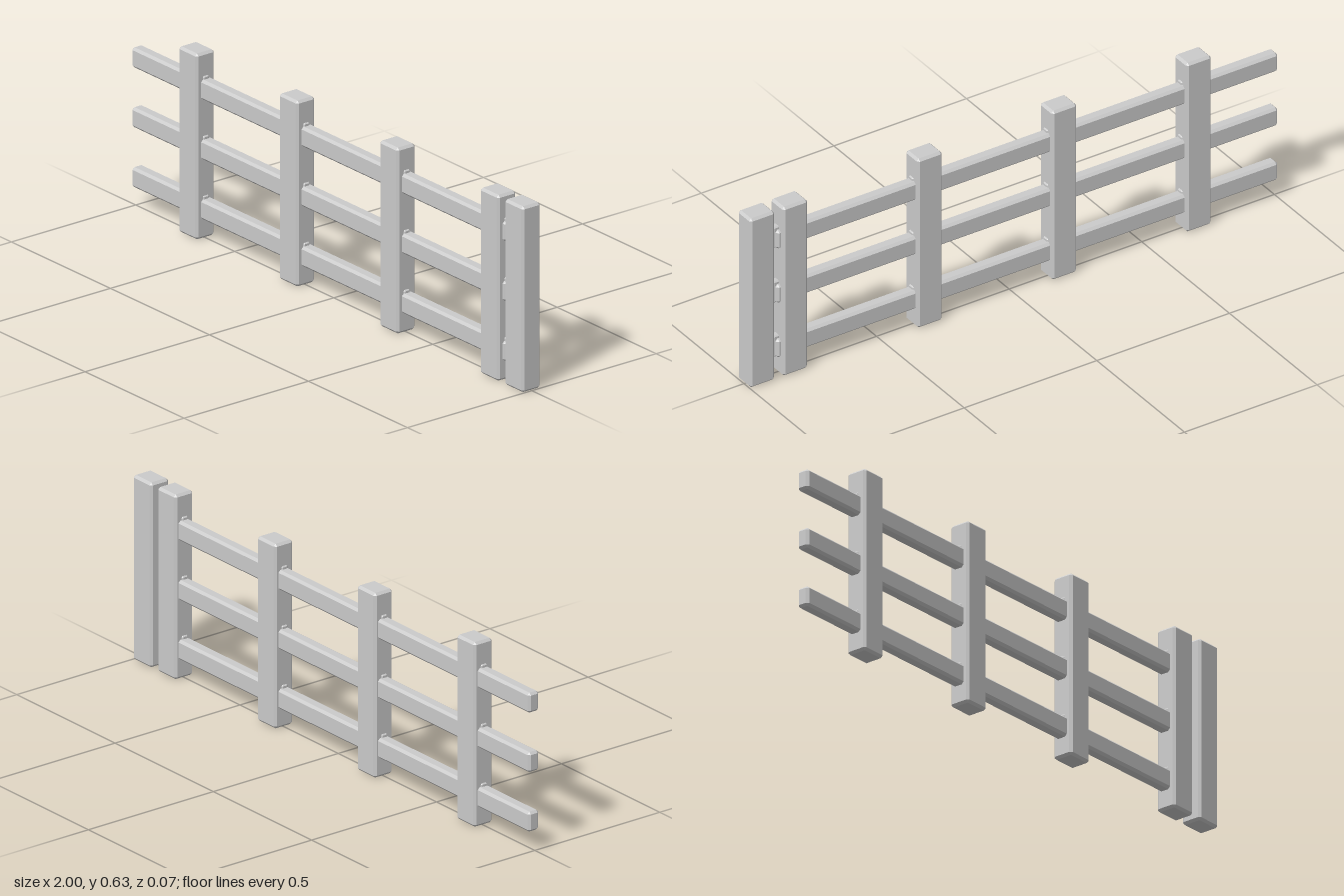
import * as THREE from 'three';
import { ConvexGeometry } from 'three/addons/geometries/ConvexGeometry.js';

const material = new THREE.MeshStandardMaterial({ color: 0xcccccc, flatShading: true });

// Box with every edge cut by a flat chamfer c, spanning the given ranges
function chamferBox(name, [x0, x1], [y0, y1], [z0, z1], c) {
  const hx = (x1 - x0) / 2, hy = (y1 - y0) / 2, hz = (z1 - z0) / 2;
  const points = [];
  for (const sx of [-1, 1]) for (const sy of [-1, 1]) for (const sz of [-1, 1]) {
    points.push(
      new THREE.Vector3(sx * hx, sy * (hy - c), sz * (hz - c)),
      new THREE.Vector3(sx * (hx - c), sy * hy, sz * (hz - c)),
      new THREE.Vector3(sx * (hx - c), sy * (hy - c), sz * hz)
    );
  }
  const mesh = new THREE.Mesh(new ConvexGeometry(points), material);
  mesh.name = name;
  mesh.position.set((x0 + x1) / 2, (y0 + y1) / 2, (z0 + z1) / 2);
  return mesh;
}

export function createModel() {
  const group = new THREE.Group();
  group.name = 'fence';
  const postX = [-0.693, -0.186, 0.321, 0.829, 0.953];
  const railY = [0.1, 0.303, 0.506];

  // Upright posts, the last two standing close together
  for (const x of postX) {
    group.add(chamferBox('post', [x - 0.047, x + 0.047], [0, 0.63], [-0.037, 0.037], 0.008));
  }

  for (const y of railY) {
    // Horizontal rail, running free past the first post
    group.add(chamferBox('rail', [-1, 0.89], [y - 0.034, y + 0.034], [-0.024, 0.019], 0.008));

    // Small tenons just showing beside the posts that carry the rails
    postX.slice(0, 4).forEach((x, i) => {
      const right = i === 3 ? 0.068 : 0.051;
      group.add(chamferBox('tenon', [x - 0.051, x + right], [y - 0.034, y + 0.045], [-0.012, 0.012], 0.004));
    });
  }
  return group;
}
